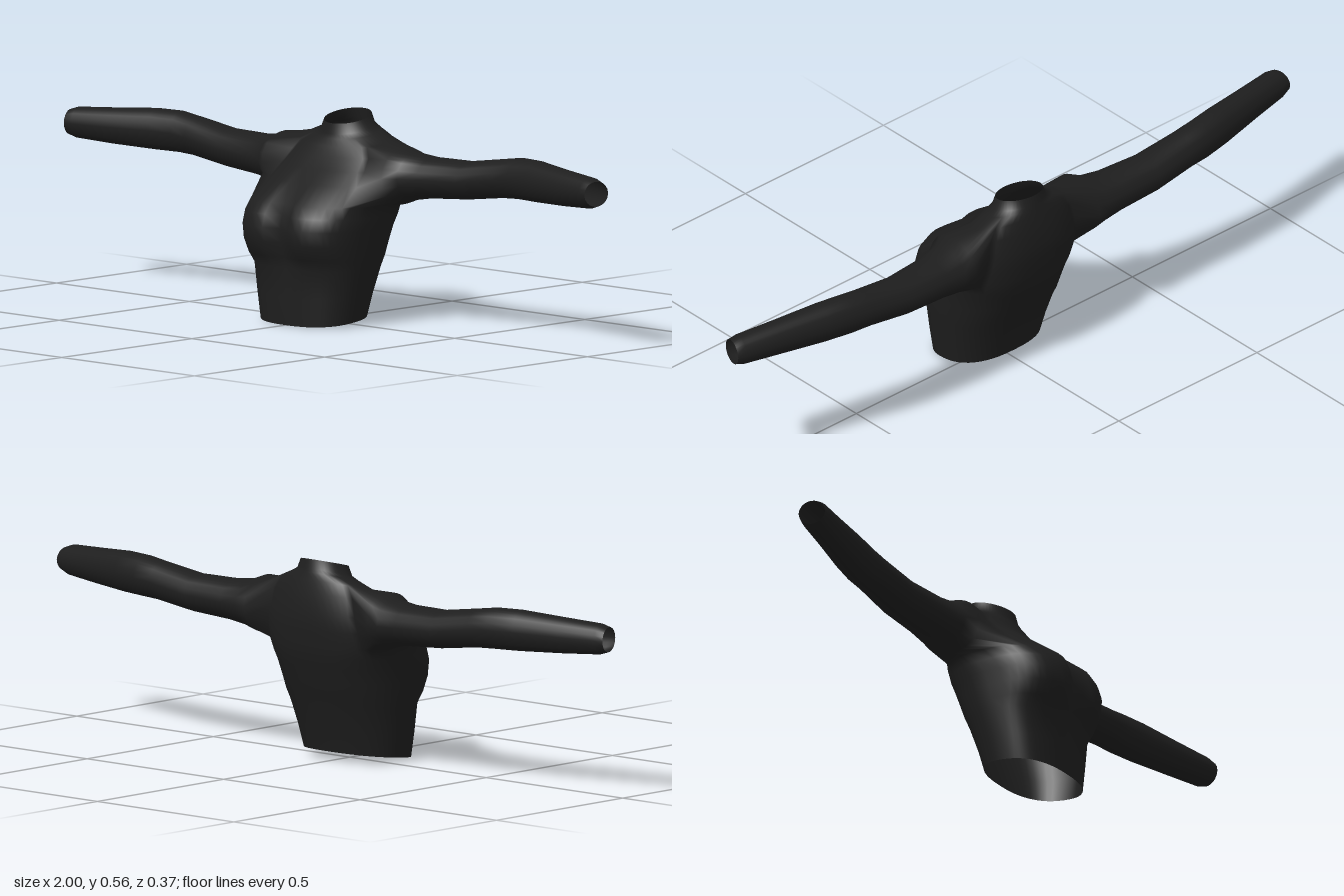
import * as THREE from 'three';

// Torso rows: front y, back y, half width, front z, back z, z of widest point, bust cleft, squareness
const ROWS = [
  [0.005, 0.03, 0.155, 0.14, -0.08, 0.03, 0, 0.8],
  [0.08, 0.09, 0.168, 0.142, -0.097, 0.03, 0, 0.8],
  [0.16, 0.16, 0.18, 0.143, -0.12, 0.02, 0.003, 0.75],
  [0.19, 0.19, 0.185, 0.165, -0.132, 0.015, 0.018, 0.7],
  [0.23, 0.23, 0.19, 0.186, -0.146, 0.01, 0.03, 0.7],
  [0.27, 0.27, 0.195, 0.19, -0.16, 0, 0.03, 0.7],
  [0.305, 0.3, 0.2, 0.178, -0.17, -0.02, 0.025, 0.7],
  [0.335, 0.33, 0.203, 0.16, -0.176, -0.045, 0.018, 0.75],
  [0.385, 0.375, 0.197, 0.09, -0.182, -0.075, 0.006, 0.8],
  [0.42, 0.42, 0.19, 0.04, -0.185, -0.085, 0, 0.85],
  [0.45, 0.475, 0.178, 0, -0.178, -0.09, 0, 0.9],
  [0.475, 0.51, 0.155, -0.017, -0.171, -0.095, 0, 0.95],
  [0.495, 0.53, 0.105, -0.029, -0.167, -0.097, 0, 1],
  [0.507, 0.54, 0.08, -0.034, -0.165, -0.098, 0, 1],
  [0.535, 0.565, 0.068, -0.04, -0.16, -0.098, 0, 1],
];
// Sleeve rings: x, centre y, y radius, centre z, z radius, slant
const SLEEVE = [
  [0.225, 0.411, 0.078, -0.087, 0.09, 0],
  [0.26, 0.411, 0.064, -0.098, 0.077, 0],
  [0.32, 0.413, 0.056, -0.104, 0.068, 0],
  [0.45, 0.418, 0.052, -0.112, 0.06, 0],
  [0.58, 0.436, 0.053, -0.113, 0.052, 0],
  [0.64, 0.442, 0.056, -0.112, 0.05, -0.1],
  [0.72, 0.443, 0.056, -0.098, 0.047, -0.2],
  [0.85, 0.441, 0.049, -0.071, 0.041, -0.27],
  [0.965, 0.441, 0.042, -0.049, 0.039, -0.27],
  [0.99, 0.441, 0.034, -0.044, 0.036, -0.27],
];
const COLS = 48, HALF = 5, LOW = 7, HIGH = 11; // armhole: columns -HALF..HALF, rows LOW..HIGH

const power = (v, e) => Math.sign(v) * Math.abs(v) ** e;

export function createModel() {
  const points = [], index = [];
  const quad = (a, b, c, d) => index.push(a, b, c, a, c, d);
  const id = (r, c) => r * COLS + ((c % COLS) + COLS) % COLS;

  // Torso points, ring by ring from hem to collar
  for (const [yF, yB, w, zF, zB, zMid, cleft, e] of ROWS) {
    for (let c = 0; c < COLS; c++) {
      const a = (c / COLS) * Math.PI * 2, s = Math.sin(a);
      const x = w * power(Math.cos(a), e);
      let z = s >= 0 ? zMid + (zF - zMid) * power(s, e)
        : zMid + (zMid - zB) * power(s, Math.max(e, 0.85));
      const y = THREE.MathUtils.lerp(yB, yF, (z - zB) / (zF - zB));
      if (s > 0) z -= cleft * Math.exp(-((x / 0.04) ** 2));
      points.push(x, y, z);
    }
  }

  // Torso skin, leaving out the two armholes
  const inHole = (c) => c >= -HALF && c < HALF;
  for (let r = 0; r < ROWS.length - 1; r++) {
    for (let c = -COLS / 4; c < COLS * 3 / 4; c++) {
      const open = inHole(c) || inHole(c - COLS / 2);
      if (open && r >= LOW && r < HIGH) continue;
      quad(id(r, c), id(r + 1, c), id(r + 1, c + 1), id(r, c + 1));
    }
  }

  // Armhole edge with the matching angle around the sleeve
  const loop = [];
  const rad = THREE.MathUtils.degToRad;
  const tall = HIGH - LOW, wide = HALF * 2;
  for (let i = 0; i < wide; i++) loop.push([LOW, i - HALF, rad(-140 + 100 * i / wide)]);
  for (let i = 0; i < tall; i++) loop.push([LOW + i, HALF, rad(-40 + 80 * i / tall)]);
  for (let i = 0; i < wide; i++) loop.push([HIGH, HALF - i, rad(40 + 100 * i / wide)]);
  for (let i = 0; i < tall; i++) loop.push([HIGH - i, -HALF, rad(140 + 80 * i / tall)]);

  // Sleeves grow out of the armholes
  for (const side of [1, -1]) {
    let last = loop.map(([r, c]) => id(r, side > 0 ? c : COLS / 2 - c));
    for (const [x, y, ry, z, rz, slant] of SLEEVE) {
      const next = loop.map(([, , a]) => {
        const dz = rz * Math.cos(a);
        points.push(side * (x + slant * dz), y + ry * Math.sin(a), z + dz);
        return points.length / 3 - 1;
      });
      loop.forEach((_, i) => {
        const j = (i + 1) % loop.length;
        if (side > 0) quad(last[i], next[i], next[j], last[j]);
        else quad(last[i], last[j], next[j], next[i]);
      });
      last = next;
    }
  }

  const geometry = new THREE.BufferGeometry();
  geometry.setAttribute('position', new THREE.Float32BufferAttribute(points, 3));
  geometry.setIndex(index);
  geometry.computeVertexNormals();

  const fabric = new THREE.MeshStandardMaterial({ color: 0x1e1e1e, side: THREE.DoubleSide });
  fabric.name = 'black fabric';
  const top = new THREE.Mesh(geometry, fabric);
  top.name = 'longSleevedTop';
  const group = new THREE.Group();
  group.name = 'garment';
  group.add(top);
  return group;
}
